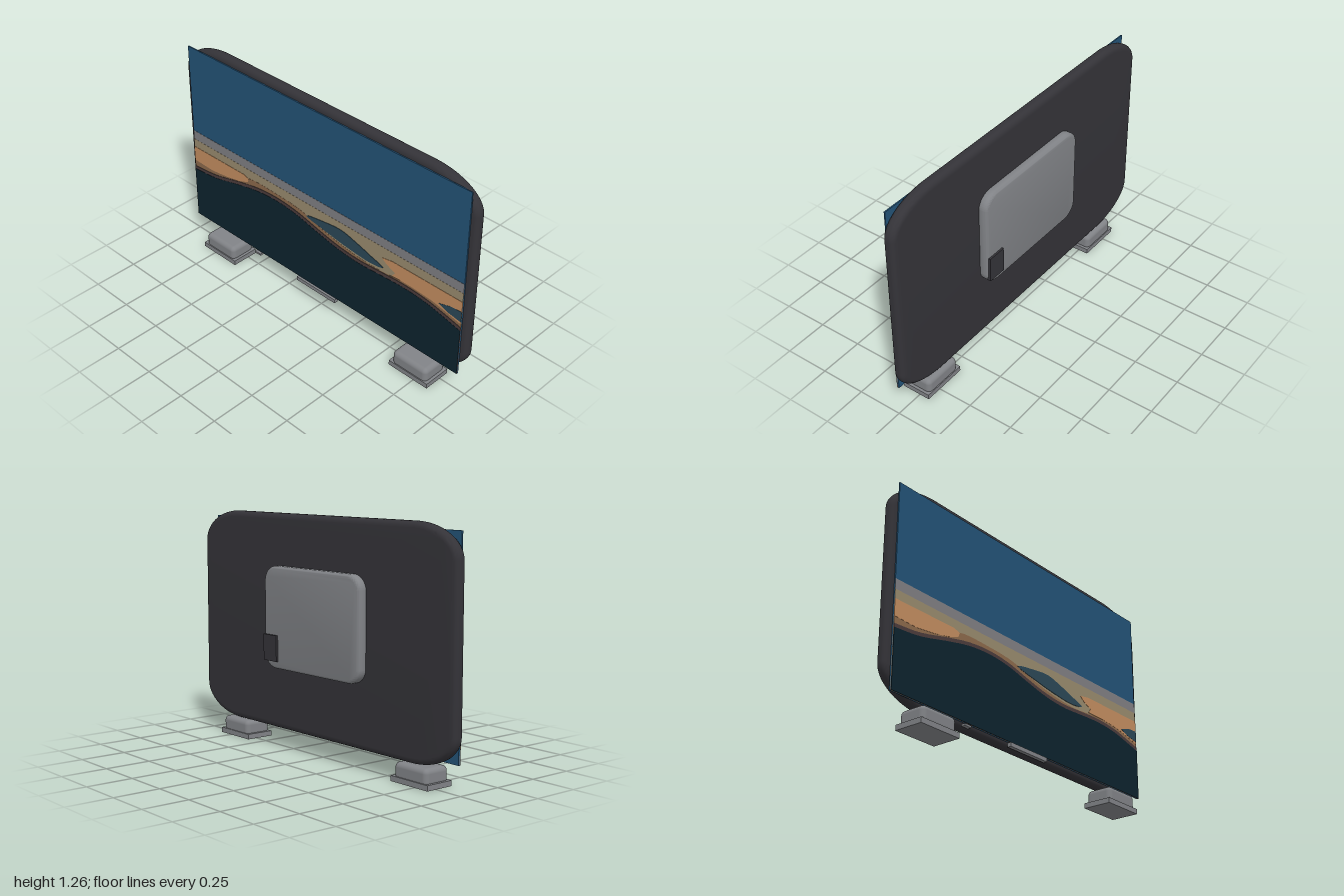
import * as THREE from 'three';
import { toCreasedNormals } from 'three/addons/utils/BufferGeometryUtils.js';
import { RoundedBoxGeometry } from 'three/addons/geometries/RoundedBoxGeometry.js';

const material = (name, color) => {
  const m = new THREE.MeshStandardMaterial({ color });
  m.name = name;
  return m;
};

// Rounded rectangle with elliptical corners, bevelled front and back
function slab(w, h, d, rx, ry, bevel, bevelDepth) {
  const s = new THREE.Shape();
  const x = w / 2 - rx, y = h / 2 - ry, q = Math.PI / 2;
  [[x, y], [-x, y], [-x, -y], [x, -y]].forEach(([cx, cy], i) =>
    s.absellipse(cx, cy, rx, ry, i * q, (i + 1) * q, false, 0));
  s.closePath();
  const g = new THREE.ExtrudeGeometry(s, {
    depth: d - 2 * bevelDepth, bevelSize: bevel, bevelThickness: bevelDepth,
    bevelOffset: -bevel, bevelSegments: 5, curveSegments: 12,
  });
  g.translate(0, 0, -d / 2 + bevelDepth);
  return toCreasedNormals(g, 0.7);
}

export function createModel() {
  const group = new THREE.Group();
  const mat = {
    shell: material('charcoal shell', 0x343338),
    metal: material('grey metal', 0x818387),
    sky: material('sky blue', 0x235377),
    haze: material('haze grey', 0x807f83),
    tan: material('tan', 0x998b6e),
    orange: material('orange', 0xc48e60),
    brown: material('brown', 0x8c6a4c),
    umber: material('umber', 0x4b3c3c),
    dark: material('dark teal', 0x0d232e),
    lake: material('lake blue', 0x2b4857),
  };
  const add = (name, geometry, m, x = 0, y = 0, z = 0, parent = group) => {
    const mesh = new THREE.Mesh(geometry, m);
    mesh.name = name;
    mesh.position.set(x, y, z);
    parent.add(mesh);
    return mesh;
  };
  const box = (w, h, d) => new THREE.BoxGeometry(w, h, d);

  // Display shell, rear housing and socket
  add('shell', slab(2, 1.155, 0.065, 0.3, 0.17, 0.03, 0.028), mat.shell, 0, 0.6825, -0.0125);
  add('rearHousing', slab(0.77, 0.545, 0.06, 0.09, 0.08, 0.02, 0.018), mat.metal, 0, 0.7125, -0.062);
  add('rearSocket', box(0.11, 0.14, 0.025), mat.shell, 0.32, 0.55, -0.09);

  // Screen panel; the picture is thin plates, each slightly in front of the last
  const L = -0.965, R = 0.965, B = 0.135;
  add('screen', box(R - L, 1.09, 0.007), mat.sky, 0, 0.68, 0.0235);
  const plate = (name, shape, m, front) => {
    const g = new THREE.ExtrudeGeometry(shape, { depth: front - 0.0265, bevelEnabled: false, curveSegments: 8 });
    add(name, g, m, 0, 0, 0.0265);
  };
  const curve = (points, closed = false) => new THREE.CatmullRomCurve3(
    points.map(([x, y]) => new THREE.Vector3(x, y, 0)), closed, 'centripetal')
    .getPoints(48).map((p) => new THREE.Vector2(THREE.MathUtils.clamp(p.x, L, R), p.y));
  const band = (name, top, m, front) => plate(name, new THREE.Shape(
    [new THREE.Vector2(L, B), new THREE.Vector2(R, B), ...top.reverse()]), m, front);
  const patch = (name, points, m, front) =>
    plate(name, new THREE.Shape(points.map((p) => new THREE.Vector2(...p))), m, front);

  band('hazeBand', [[L, 0.7], [R, 0.7]].map((p) => new THREE.Vector2(...p)), mat.haze, 0.028);
  band('tanBand', [[L, 0.645], [R, 0.645]].map((p) => new THREE.Vector2(...p)), mat.tan, 0.0288);
  band('brownSlope', curve([[L, 0.505], [-0.8, 0.505], [-0.65, 0.535], [-0.52, 0.588], [-0.3, 0.592],
    [-0.12, 0.578], [0, 0.545], [0.2, 0.505], [0.4, 0.49], [0.6, 0.505], [0.78, 0.5], [R, 0.46]]),
  mat.brown, 0.0296);
  patch('leftSunlitSlope', [[L, 0.595], [-0.56, 0.597], [-0.52, 0.585], [-0.53, 0.56], [-0.6, 0.535],
    [-0.7, 0.515], [-0.82, 0.5], [L, 0.505]], mat.orange, 0.0304);
  patch('rightSunlitSlope', [[R, 0.592], [0.52, 0.592], [0.45, 0.58], [0.48, 0.555], [0.54, 0.53],
    [0.52, 0.505], [0.65, 0.505], [0.78, 0.495], [0.88, 0.475], [R, 0.455]], mat.orange, 0.0304);
  patch('largeLake', curve([[-0.08, 0.566], [0.05, 0.592], [0.17, 0.602], [0.27, 0.58], [0.37, 0.55],
    [0.46, 0.52], [0.38, 0.505], [0.22, 0.515], [0.08, 0.535]], true).slice(0, -1).map((p) => [p.x, p.y]),
  mat.lake, 0.0312);
  patch('smallLake', [[R, 0.532], [0.9, 0.528], [0.82, 0.505], [0.88, 0.482], [R, 0.468]], mat.lake, 0.0312);

  // Foreground hill with a thin umber rim
  const ridge = [[L, 0.447], [-0.8, 0.462], [-0.6, 0.51], [-0.45, 0.541], [-0.3, 0.551], [-0.15, 0.537],
    [0, 0.503], [0.15, 0.473], [0.3, 0.461], [0.45, 0.468], [0.6, 0.474], [0.75, 0.463], [0.87, 0.438], [R, 0.415]];
  band('hillRim', curve(ridge.map(([x, y]) => [x, y + 0.02])), mat.umber, 0.032);
  band('darkHill', curve(ridge), mat.dark, 0.033);

  // Lower trim and indicator
  add('lowerTrim', box(0.285, 0.022, 0.022), mat.metal, -0.003, 0.12, 0.032);
  add('indicator', box(0.045, 0.011, 0.022), mat.metal, -0.457, 0.12, 0.03);

  // Feet: rounded block on a flat base
  for (const side of [-1, 1]) {
    const foot = new THREE.Group();
    foot.name = side > 0 ? 'leftFoot' : 'rightFoot';
    foot.position.set(side * 0.712, 0, 0.023);
    add('footBase', box(0.255, 0.028, 0.16), mat.metal, 0, 0.014, 0, foot);
    add('footBlock', new RoundedBoxGeometry(0.226, 0.09, 0.152, 4, 0.026), mat.metal, 0, 0.055, 0, foot);
    group.add(foot);
  }
  return group;
}
